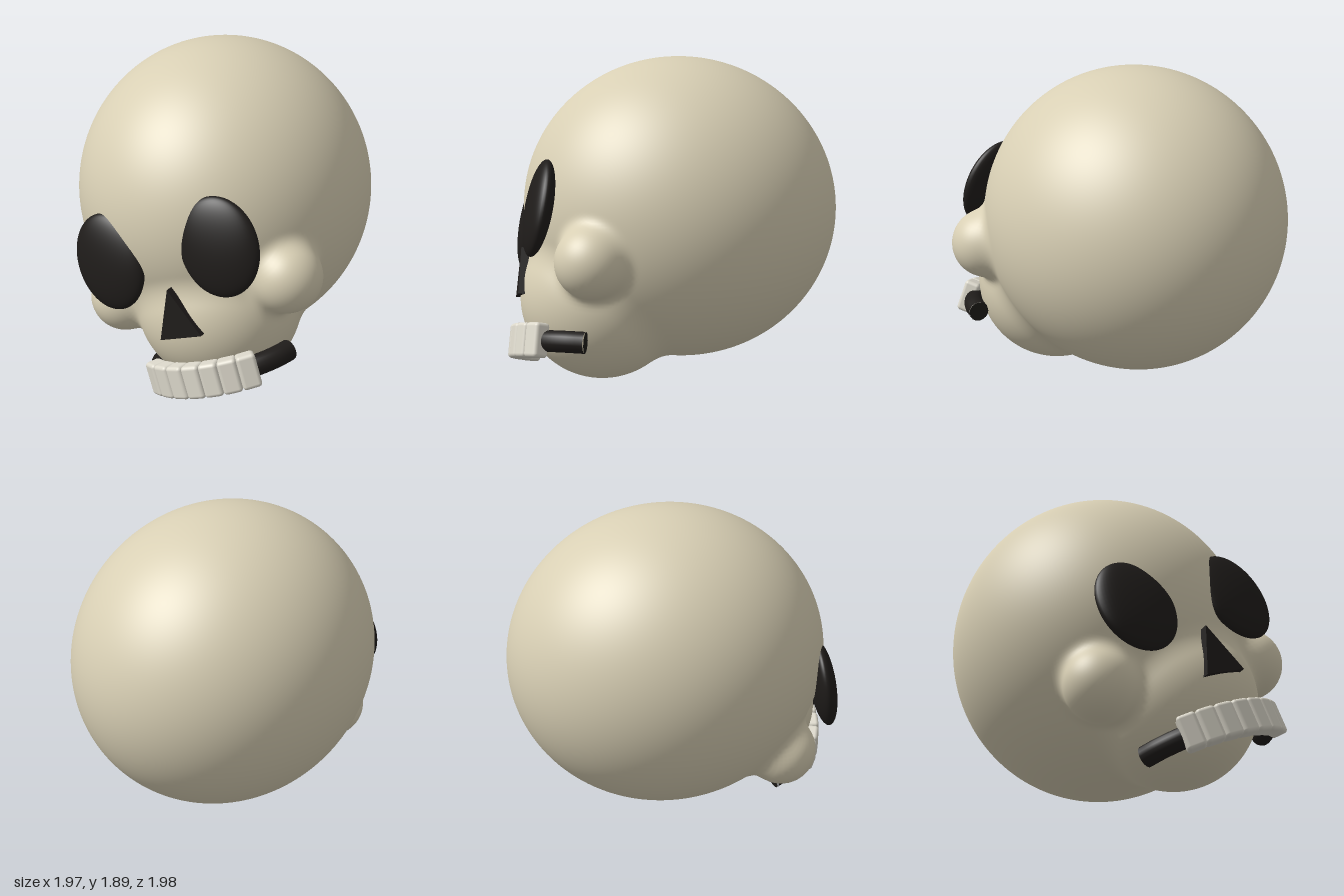
import * as THREE from 'three';
import { mergeVertices } from 'three/addons/utils/BufferGeometryUtils.js';
import { RoundedBoxGeometry } from 'three/addons/geometries/RoundedBoxGeometry.js';

const bone = new THREE.MeshStandardMaterial({ color: 0xd8cfb4 });
const dark = new THREE.MeshStandardMaterial({ color: 0x1f1c1a });
const enamel = new THREE.MeshStandardMaterial({ color: 0xdcd8cb });

function add(parent, name, geometry, material) {
  const mesh = new THREE.Mesh(geometry, material);
  mesh.name = name;
  parent.add(mesh);
  return mesh;
}

// Rounded masses of the bone: centre, radii
const masses = [
  [[0, 0, 0], [0.87, 0.91, 0.95]],           // cranium
  [[0, -0.59, 0.43], [0.49, 0.49, 0.49]],    // muzzle and jaw
  [[0.55, -0.455, 0.565], [0.21, 0.21, 0.21]],  // cheeks
  [[-0.55, -0.455, 0.565], [0.21, 0.21, 0.21]],
].map(([c, r]) => ({ c: new THREE.Vector3(...c), r: new THREE.Vector3(...r) }));

// Distance to the masses, blended softly where they meet
function boneDistance(p) {
  const q = new THREE.Vector3();
  let d = Infinity;
  for (const { c, r } of masses) {
    const e = (q.copy(p).sub(c).divide(r).length() - 1) * Math.min(r.x, r.y, r.z);
    if (d === Infinity) { d = e; continue; }
    const k = 0.07, h = Math.max(k - Math.abs(d - e), 0) / k;
    d = Math.min(d, e) - h * h * k * 0.25;
  }
  return d;
}

// Sphere whose vertices are pushed out to the blended surface
function skullGeometry() {
  let geo = new THREE.IcosahedronGeometry(1, 40);
  geo.deleteAttribute('uv');
  geo.deleteAttribute('normal');
  geo = mergeVertices(geo, 1e-5);
  const start = new THREE.Vector3(0, -0.22, 0.2);
  const pos = geo.attributes.position;
  const dir = new THREE.Vector3(), p = new THREE.Vector3();
  for (let i = 0; i < pos.count; i++) {
    dir.fromBufferAttribute(pos, i).normalize();
    const inside = (t) => boneDistance(p.copy(start).addScaledVector(dir, t)) < 0;
    let hi = 1.5;
    while (!inside(hi - 0.03)) hi -= 0.03;
    let lo = hi - 0.03;
    for (let n = 0; n < 12; n++) {
      const mid = (lo + hi) / 2;
      if (inside(mid)) lo = mid; else hi = mid;
    }
    p.copy(start).addScaledVector(dir, lo);
    pos.setXYZ(i, p.x, p.y, p.z);
  }
  geo.computeVertexNormals();
  return geo;
}

export function createModel() {
  const model = new THREE.Group();
  model.name = 'skullModel';
  const head = new THREE.Group();
  head.name = 'head';
  model.add(head);

  add(head, 'skull', skullGeometry(), bone);

  // Eye sockets: thin dark lenses set into the face
  for (const s of [1, -1]) {
    const eye = add(head, s > 0 ? 'leftEye' : 'rightEye', new THREE.SphereGeometry(1, 48, 32), dark);
    eye.scale.set(0.235, 0.285, 0.075);
    eye.position.set(s * 0.365, -0.15, 0.875);
    eye.rotation.set(-0.08, s * 0.1, 0);
  }

  // Triangular nose hole
  const triangle = new THREE.Shape([[0, -0.34], [-0.135, -0.63], [0.135, -0.63]].map((v) => new THREE.Vector2(...v)));
  const nose = add(head, 'nose', new THREE.ExtrudeGeometry(triangle, { depth: 0.12, bevelEnabled: false }), dark);
  nose.position.z = 0.82;

  // Mouth: a dark bar bent around the jaw, with closed ends
  const arc = (radius, z, a) => new THREE.Vector3(radius * Math.sin(a), -0.9, z + radius * Math.cos(a));
  const path = [];
  for (let i = -6; i <= 6; i++) path.push(arc(0.455, 0.42, i * 1.28 / 6));
  add(head, 'mouth', new THREE.TubeGeometry(new THREE.CatmullRomCurve3(path), 48, 0.062, 16), dark);
  for (const s of [1, -1]) {
    const cap = add(head, 'mouthEnd', new THREE.CircleGeometry(0.062, 16), dark);
    cap.position.copy(path[s > 0 ? 12 : 0]);
    cap.rotation.y = s * (1.28 + Math.PI / 2);
  }

  // Row of seven teeth
  const teeth = new THREE.Group();
  teeth.name = 'teeth';
  head.add(teeth);
  for (let i = -3; i <= 3; i++) {
    const tooth = add(teeth, 'tooth', new RoundedBoxGeometry(0.112, 0.2, 0.1, 3, 0.022), enamel);
    tooth.position.copy(arc(0.53, 0.38, i * 0.2));
    tooth.rotation.y = i * 0.2;
  }

  // Turn and tilt the head
  const left = new THREE.Vector3(0.81, 0.345, -0.475).normalize();
  const up = new THREE.Vector3(-0.36, 0.93, 0.06).normalize();
  const front = new THREE.Vector3().crossVectors(left, up).normalize();
  up.crossVectors(front, left);
  head.quaternion.setFromRotationMatrix(new THREE.Matrix4().makeBasis(left, up, front));
  head.position.set(-0.1, 0.977, -0.07);
  return model;
}
